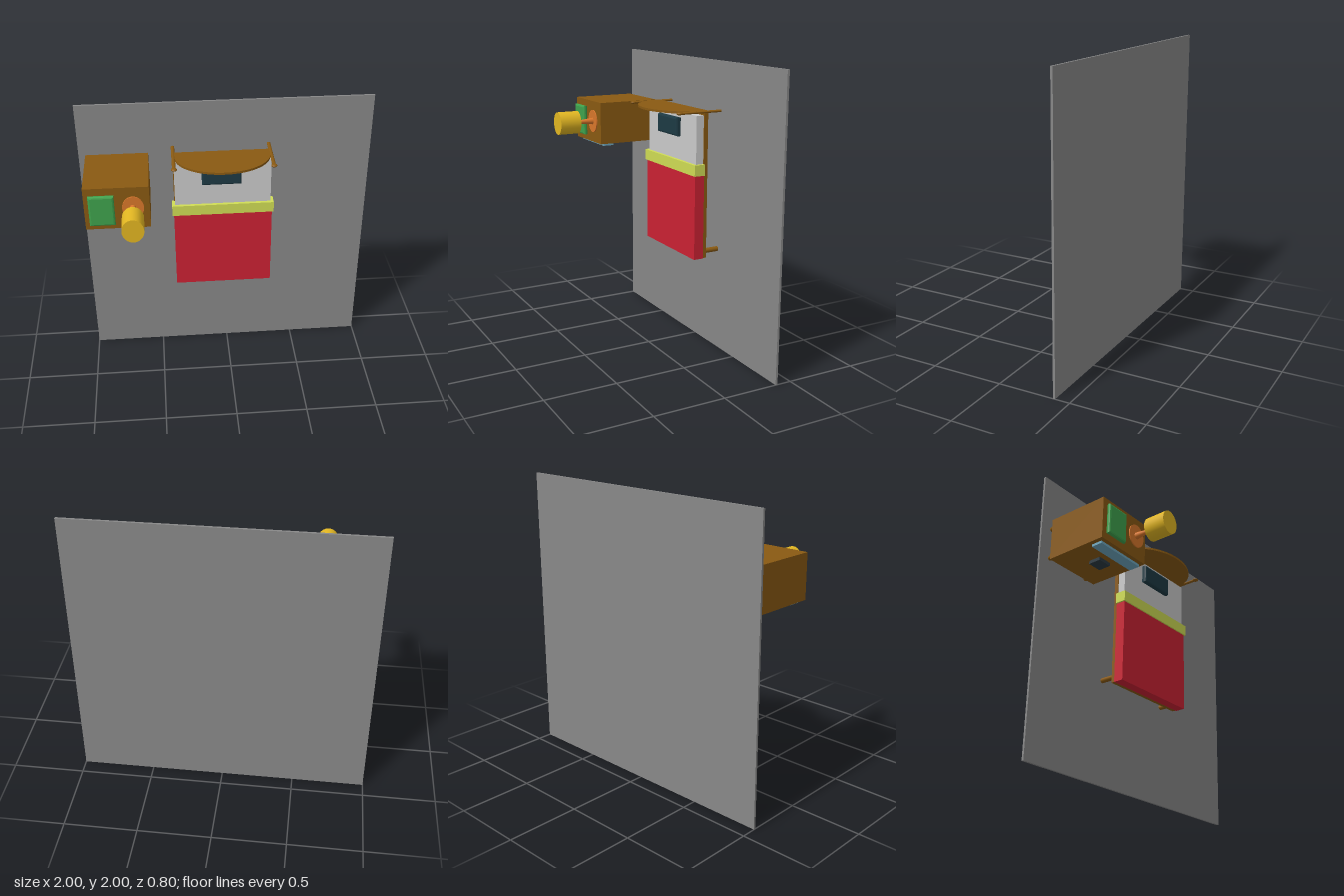
import * as THREE from 'three';

const COLORS = {
  floor: 0x888888, wood: 0x8a5a12, sheet: 0xcccccc, red: 0xcc2233, lime: 0xd0dd55,
  pillow: 0x1d3a44, green: 0x3fa34d, orange: 0xd9772b, yellow: 0xe3b722, blue: 0x6fa8bf, dark: 0x2b3a42,
};
const mats = {};
for (const k in COLORS) mats[k] = new THREE.MeshStandardMaterial({ color: COLORS[k] });

function add(parent, name, geometry, color, x = 0, y = 0, z = 0) {
  const m = new THREE.Mesh(geometry, mats[color]);
  m.name = name;
  m.position.set(x, y, z);
  parent.add(m);
  return m;
}
// Box given by its limits on each axis
function box(parent, name, color, x0, x1, y0, y1, z0, z1) {
  return add(parent, name, new THREE.BoxGeometry(x1 - x0, y1 - y0, z1 - z0), color,
    (x0 + x1) / 2, (y0 + y1) / 2, (z0 + z1) / 2);
}
// Round rod along z, with a radius at each end
function rod(parent, name, color, x, y, z0, z1, r0, r1 = r0) {
  const g = new THREE.CylinderGeometry(r1, r0, z1 - z0, 32).rotateX(Math.PI / 2);
  return add(parent, name, g, color, x, y, (z0 + z1) / 2);
}
// Slab with chamfered edges, thickness along z
function slab(parent, name, color, x0, x1, y0, y1, z0, z1, b) {
  const w = (x1 - x0) / 2 - b, h = (y1 - y0) / 2 - b;
  const s = new THREE.Shape([[-w, -h], [w, -h], [w, h], [-w, h]].map(p => new THREE.Vector2(...p)));
  const g = new THREE.ExtrudeGeometry(s, {
    depth: z1 - z0 - 2 * b, bevelThickness: b, bevelSize: b, bevelSegments: 2,
  });
  return add(parent, name, g, color, (x0 + x1) / 2, (y0 + y1) / 2, z0 + b);
}

function makeBed() {
  const bed = new THREE.Group();
  bed.name = 'bed';
  const cx = -0.037;
  box(bed, 'bedFrame', 'wood', -0.37, 0.297, 0.672, 1.665, -0.285, -0.255);
  box(bed, 'mattress', 'sheet', -0.365, 0.291, 0.68, 1.65, -0.255, -0.2);
  box(bed, 'blanket', 'red', -0.375, 0.301, 0.67, 1.25, -0.258, -0.188);
  box(bed, 'blanketFold', 'lime', -0.386, 0.312, 1.25, 1.325, -0.258, -0.178);
  slab(bed, 'pillow', 'pillow', -0.18, 0.087, 1.487, 1.615, -0.205, -0.165, 0.012);

  // Headboard: rectangle topped by a half ellipse
  const s = new THREE.Shape();
  s.moveTo(-0.32, -0.29);
  s.lineTo(0.32, -0.29);
  s.lineTo(0.32, -0.23);
  s.absellipse(0, -0.23, 0.32, 0.24, 0, Math.PI, false, 0);
  s.closePath();
  const g = new THREE.ExtrudeGeometry(s, { depth: 0.015, bevelEnabled: false, curveSegments: 40 });
  g.rotateX(Math.PI / 2);
  add(bed, 'headboard', g, 'wood', cx, 1.68, 0);

  // Headboard posts with flattened knobs, and foot legs
  for (const side of [-1, 1]) {
    const px = cx + side * 0.328;
    const post = rod(bed, 'headPost', 'wood', px, 1.673, -0.385, -0.07, 0.012);
    post.scale.y = 0.7;
    const knob = add(bed, 'postKnob', new THREE.SphereGeometry(0.02, 24, 16), 'wood', px, 1.673, -0.07);
    knob.scale.y = 0.5;
    rod(bed, 'footLeg', 'wood', cx + side * 0.315, 0.717, -0.385, -0.285, 0.017);
  }
  return bed;
}

function makeNightstand() {
  const stand = new THREE.Group();
  stand.name = 'nightstand';
  box(stand, 'cabinet', 'wood', -0.95, -0.53, 1.36, 1.66, -0.34, 0.11);
  for (const x of [-0.91, -0.57]) for (const y of [1.40, 1.62])
    rod(stand, 'cabinetFoot', 'wood', x, y, -0.387, -0.34, 0.014, 0.029);
  // Drawer front and its handle
  box(stand, 'drawerTrim', 'blue', -0.92, -0.55, 1.343, 1.36, 0, 0.08);
  box(stand, 'drawerHandle', 'dark', -0.78, -0.68, 1.337, 1.36, -0.15, -0.06);
  slab(stand, 'book', 'green', -0.92, -0.755, 1.4, 1.615, 0.112, 0.143, 0.012);
  return stand;
}

function makeLamp() {
  const lamp = new THREE.Group();
  lamp.name = 'lamp';
  const x = -0.637, y = 1.518;
  const base = rod(lamp, 'lampBase', 'orange', x, y, 0.119, 0.127, 0.07);
  const stem = rod(lamp, 'lampStem', 'orange', x, y, 0.125, 0.25, 0.021, 0.009);
  const shade = rod(lamp, 'lampShade', 'yellow', x, y, 0.245, 0.4, 0.07);
  for (const m of [base, stem, shade]) m.scale.y = 1.16;
  return lamp;
}

export function createModel() {
  const room = new THREE.Group();
  room.name = 'bedroomSet';
  box(room, 'floor', 'floor', -1, 1, 0, 2, -0.4, -0.385);
  room.add(makeBed(), makeNightstand(), makeLamp());
  return room;
}
